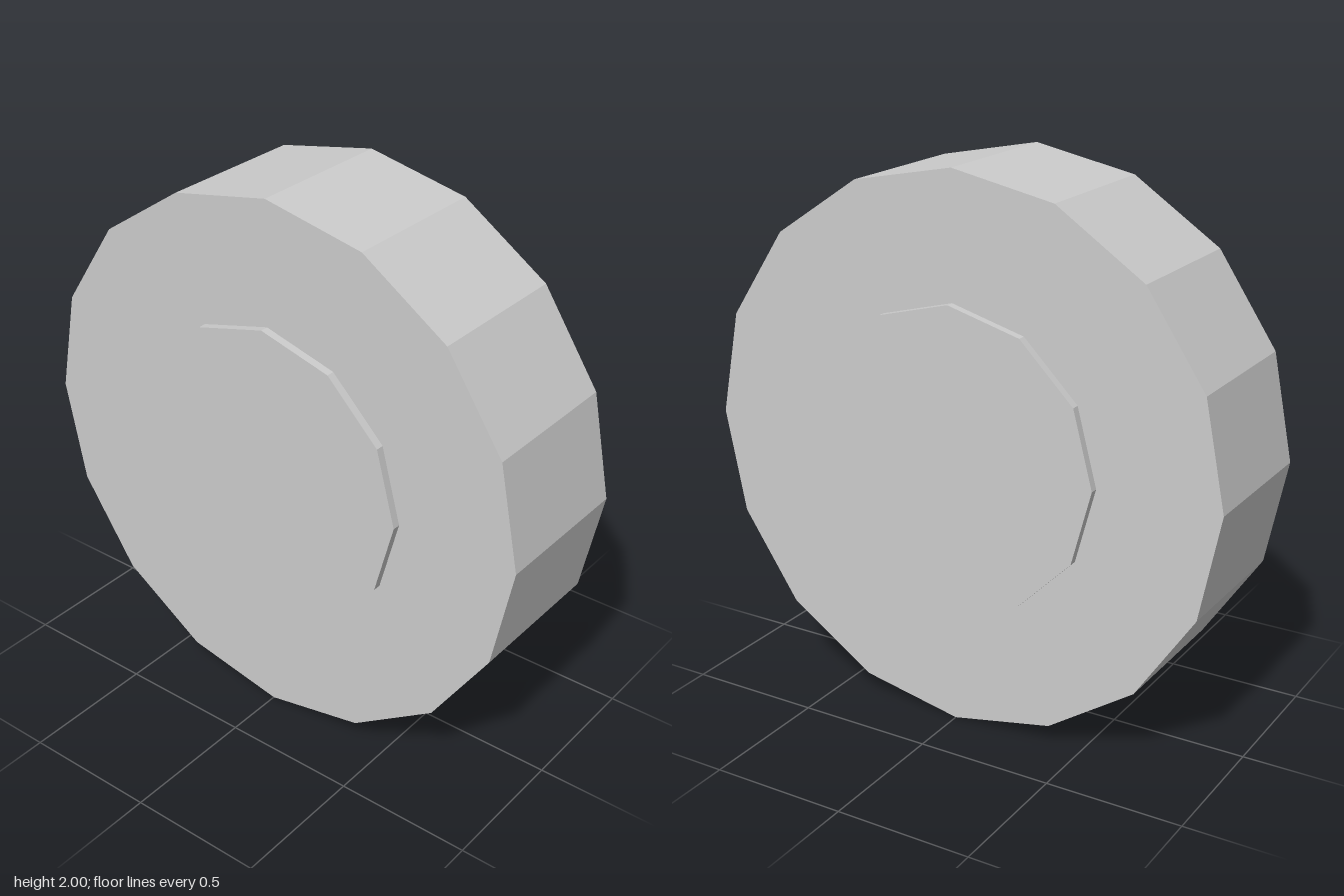
import * as THREE from 'three';

export function createModel() {
  const group = new THREE.Group();
  group.name = 'wheel';

  const lightGrey = new THREE.MeshStandardMaterial({ color: 0xcccccc, flatShading: true });
  lightGrey.name = 'light grey';

  // Faceted disc lying along the x axle, from x0 to x1
  function disc(name, radius, sides, x0, x1) {
    const geometry = new THREE.CylinderGeometry(radius, radius, x1 - x0, sides);
    geometry.rotateZ(Math.PI / 2);
    const mesh = new THREE.Mesh(geometry, lightGrey);
    mesh.name = name;
    mesh.position.set((x0 + x1) / 2, 1, 0);
    group.add(mesh);
  }

  // Sixteen-sided tyre
  disc('tyre', 1, 16, -0.28, 0.28);

  // Twelve-sided hub caps, slightly proud of each face
  disc('leftHubCap', 0.55, 12, 0.26, 0.31);
  disc('rightHubCap', 0.55, 12, -0.31, -0.26);

  return group;
}
